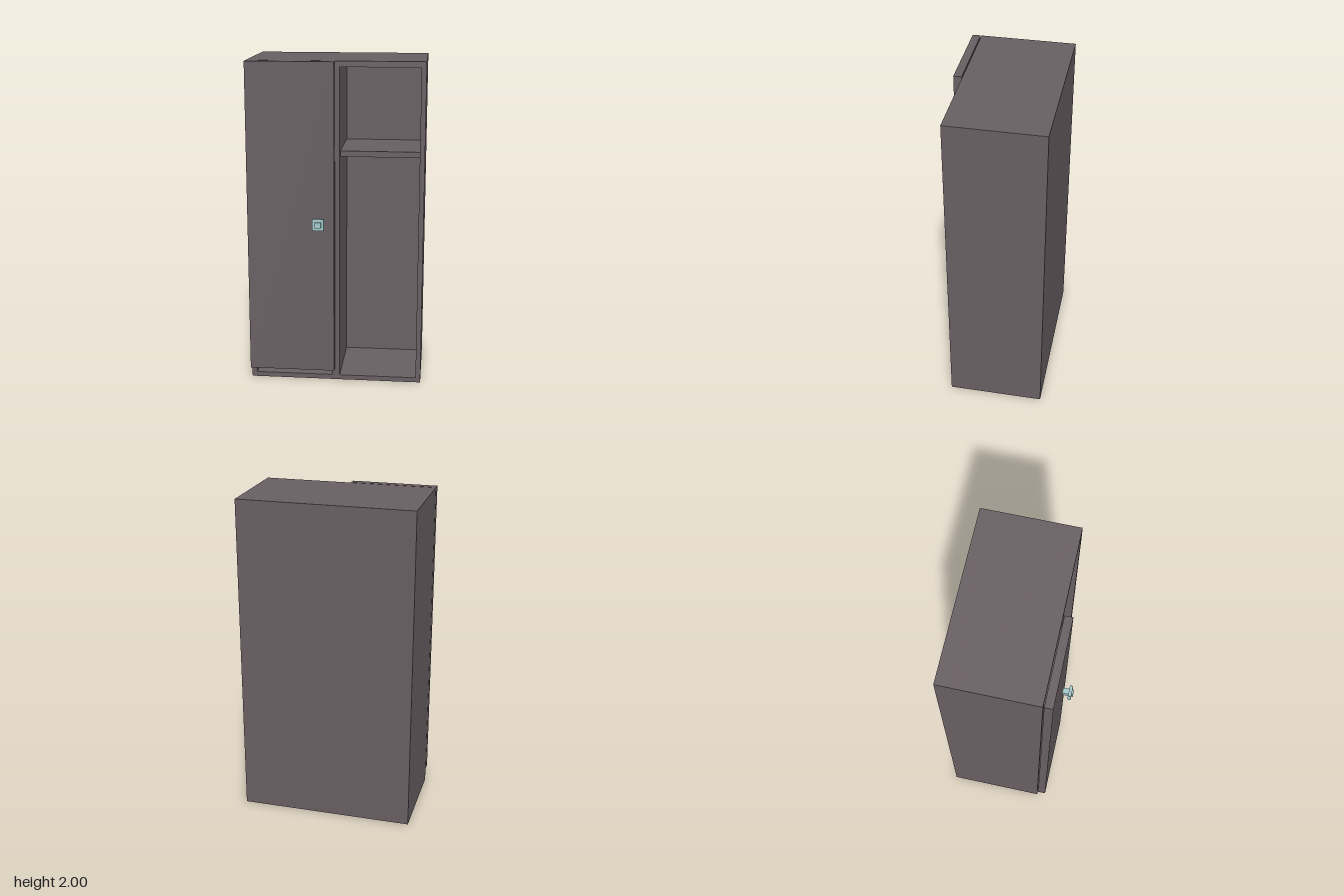
import * as THREE from 'three';

export function createModel() {
  const model = new THREE.Group();
  model.name = 'wardrobe';

  const wood = new THREE.MeshStandardMaterial({ color: 0x695f62 });
  wood.name = 'dark wood';
  const metal = new THREE.MeshStandardMaterial({ color: 0xa3c9cb });
  metal.name = 'pale teal';

  const add = (name, geometry, material, parent = model) => {
    const mesh = new THREE.Mesh(geometry, material);
    mesh.name = name;
    parent.add(mesh);
    return mesh;
  };

  // Box given by its minimum and maximum on each axis
  const box = (name, [x0, x1], [y0, y1], [z0, z1], material, parent) => {
    const geometry = new THREE.BoxGeometry(x1 - x0, y1 - y0, z1 - z0);
    geometry.translate((x0 + x1) / 2, (y0 + y1) / 2, (z0 + z1) / 2);
    return add(name, geometry, material, parent);
  };

  const rectangle = (target, x0, x1, y0, y1) => {
    target.moveTo(x0, y0);
    target.lineTo(x1, y0);
    target.lineTo(x1, y1);
    target.lineTo(x0, y1);
    target.closePath();
    return target;
  };

  const W = 0.533, back = -0.353, innerBack = -0.235, front = 0.231;

  // Carcass: outer frame with a central divider and two compartments
  const outline = rectangle(new THREE.Shape(), -W, W, 0, 2);
  outline.holes.push(
    rectangle(new THREE.Path(), 0.025, 0.503, 0.03, 1.965),
    rectangle(new THREE.Path(), -0.503, -0.025, 0.03, 1.965)
  );
  const frame = new THREE.ExtrudeGeometry(outline, { depth: front - innerBack, bevelEnabled: false });
  frame.translate(0, 0, innerBack);
  add('carcassFrame', frame, wood);
  box('backPanel', [-W, W], [0, 2], [back, innerBack], wood);

  // Shelf in the open compartment, set slightly back from the front
  box('shelf', [0.025, 0.503], [1.425, 1.46], [innerBack, 0.19], wood);

  // Door over the right compartment, with a small gap behind it
  box('door', [-W, -0.004], [0.08, 2], [0.237, 0.286], wood);

  // Square knob: a stem passing through a plate
  const knob = new THREE.Group();
  knob.name = 'doorKnob';
  model.add(knob);
  box('knobStem', [-0.113, -0.077], [1.018, 1.052], [0.286, 0.352], metal, knob);
  box('knobPlate', [-0.131, -0.06], [1.0, 1.07], [0.323, 0.343], metal, knob);

  return model;
}
